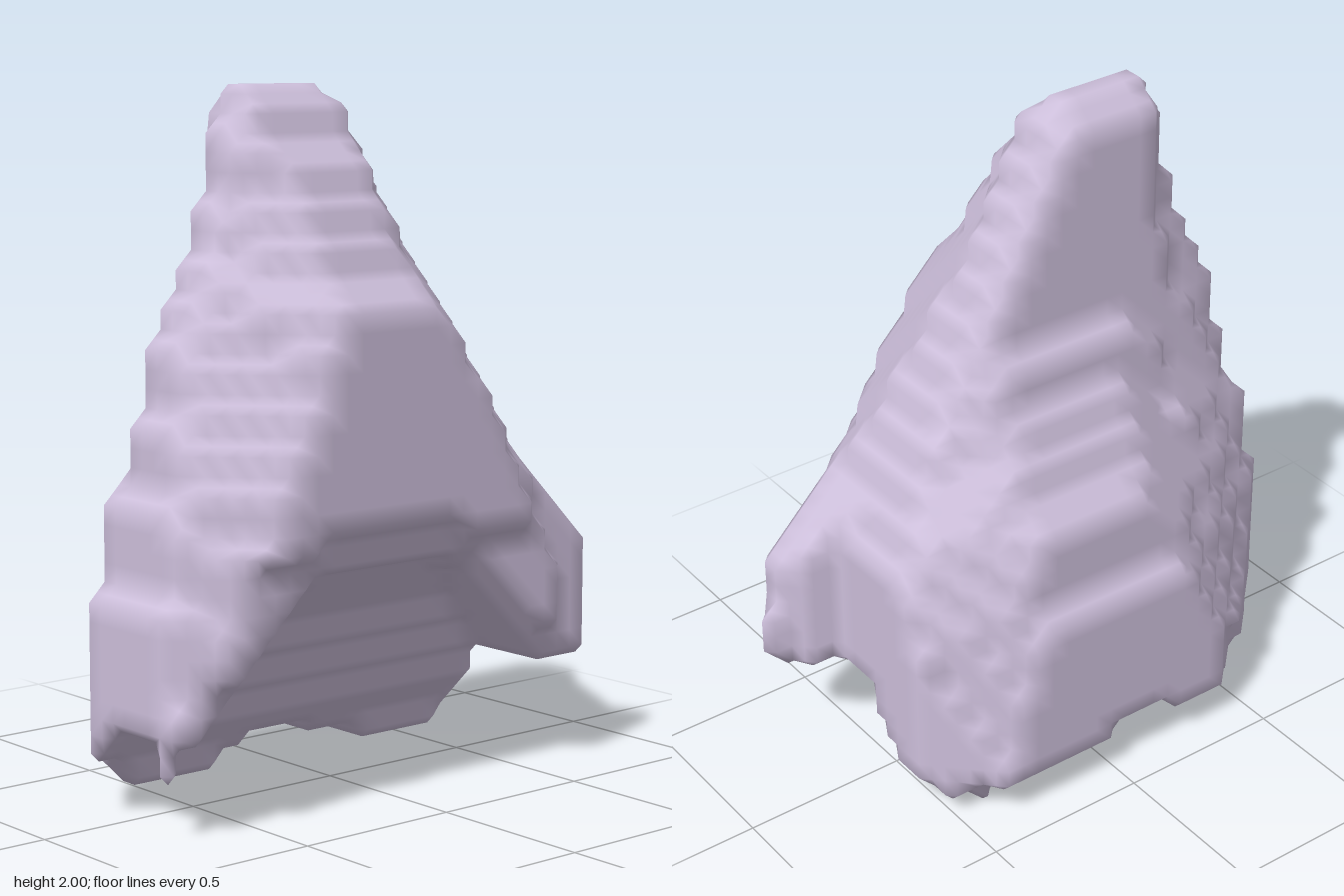
import * as THREE from 'three';

const S = 2 / 38;                 // step of the sampling grid
const N = [30, 38, 16];           // cells along x, y, z

// Horizontal sections, top to bottom:
// y, xMin, xMax, zBack, zFront, front flat x0 x1, back flat x0 x1, -x side z0 z1, +x side z0 z1
const SECTIONS = [
  [2.00, -0.32, -0.10, -0.05, 0.05, -0.30, -0.11, -0.28, -0.12, -0.05, 0.05, -0.04, 0.05],
  [1.80, -0.41, 0.04, -0.10, 0.16, -0.30, -0.04, -0.27, -0.03, -0.06, 0.06, -0.03, 0.06],
  [1.60, -0.45, 0.13, -0.10, 0.26, -0.30, 0.00, -0.27, 0.06, -0.05, 0.08, -0.03, 0.09],
  [1.38, -0.57, 0.26, -0.10, 0.41, -0.30, 0.06, -0.27, 0.18, -0.04, 0.10, -0.03, 0.13],
  [1.10, -0.65, 0.38, -0.21, 0.42, -0.38, 0.25, -0.14, 0.20, -0.05, 0.16, -0.07, 0.20],
  [0.85, -0.71, 0.54, -0.35, 0.42, -0.50, 0.36, -0.17, 0.24, -0.08, 0.22, -0.15, 0.26],
  [0.60, -0.76, 0.57, -0.395, 0.37, -0.60, 0.50, -0.28, 0.28, -0.10, 0.25, -0.22, 0.31],
  [0.30, -0.79, 0.57, -0.42, 0.32, -0.70, 0.55, -0.40, 0.34, -0.10, 0.26, -0.24, 0.31],
  [0.15, -0.79, 0.57, -0.42, 0.30, -0.72, 0.55, -0.39, 0.36, -0.10, 0.25, -0.24, 0.30],
  [0.00, -0.70, 0.48, -0.40, 0.30, -0.68, 0.46, -0.36, 0.42, -0.12, 0.22, -0.30, 0.28],
];

// Piecewise linear curve through [x, value] pairs
function curve(points, x) {
  if (x <= points[0][0]) return points[0][1];
  for (let i = 1; i < points.length; i++) {
    const [x0, v0] = points[i - 1], [x1, v1] = points[i];
    if (x <= x1) return v0 + (v1 - v0) * (x - x0) / (x1 - x0);
  }
  return points[points.length - 1][1];
}

// Hollow underside: rises to the front, arches from side to side
const RISE = [[-0.42, 0.11], [-0.32, 0.11], [-0.3, 0], [-0.28, 0], [-0.24, 0.06], [-0.13, 0.07], [-0.05, 0.19],
  [0, 0.27], [0.05, 0.31], [0.08, 0.4], [0.12, 0.5], [0.27, 0.69], [0.36, 0.7], [0.42, 0.83]];
const ARCH = [[-0.76, 0.25], [-0.7, 0.29], [-0.5, 0.5], [-0.3, 0.69], [0.1, 0.69], [0.25, 0.6], [0.4, 0.46], [0.55, 0.33]];
const RIM = [[-0.76, 0.17], [-0.65, 0.1], [-0.6, 0.06], [-0.35, 0.06], [-0.28, 0.11], [-0.14, 0.16], [-0.05, 0.16],
  [0, 0.11], [0.2, 0.11], [0.25, 0.06], [0.35, 0.06], [0.37, 0], [0.43, 0], [0.45, 0.06], [0.5, 0.06], [0.57, 0.13]];

function underside(x, z) {
  const arch = curve(ARCH, x) + Math.max(0, z - 0.3) * 1.2;
  return Math.max(curve(RIM, x), Math.min(curve(RISE, z), arch));
}

function sectionAt(y) {
  let i = 1;
  while (i < SECTIONS.length - 1 && SECTIONS[i][0] > y) i++;
  const a = SECTIONS[i - 1], b = SECTIONS[i];
  const t = (a[0] - y) / (a[0] - b[0]);
  return a.map((v, k) => v + (b[k] - v) * t);
}

function inBody(x, y, z) {
  if (y < underside(x, z)) return false;
  const [, xl, xr, zb, zf, f0, f1, b0, b1, l0, l1, r0, r1] = sectionAt(y);
  const ring = [[f0, zf], [f1, zf], [xr, r1], [xr, r0], [b1, zb], [b0, zb], [xl, l0], [xl, l1]];
  return ring.every(([px, pz], i) => {
    const [qx, qz] = ring[(i + 1) % 8];
    return (qx - px) * (z - pz) - (qz - pz) * (x - px) <= 2e-3;
  });
}

// Pointed flange at the lower +x front corner
function inFlange(x, y, z) {
  if (x < 0.52 || z > 0.315 || y < 0.32) return false;
  if (x > 0.735) return y > 0.37 && y < 0.53 && z > 0.21 && z < 0.265;
  return z > 0.1 + (x - 0.52) * 0.5 && y < curve([[0.5, 0.9], [0.6, 0.79], [0.68, 0.74], [0.735, 0.64]], x);
}

// Small hanging tip at the lower -x front corner
const inTip = (x, y, z) => x < -0.737 && y > 0.16 && y < 0.4 && z > 0.21 && z < 0.265;

// Six faces of a cell, corners counter-clockwise seen from outside
const FACES = [];
for (let a = 0; a < 3; a++) {
  const b = 1 << (a + 1) % 3, c = 1 << (a + 2) % 3, far = 1 << a;
  FACES.push([far, far | b, far | b | c, far | c], [0, c, b | c, b]);
}

// Surface of the sampled solid, cut halfway between solid and empty samples
function steppedSurface(inside) {
  const dims = N.map((n) => n + 2);
  const id = (p) => (p[0] * dims[1] + p[1]) * dims[2] + p[2];
  const place = (i, a) => (i - 0.5) * S - (a === 1 ? 0 : N[a] * S / 2);
  const solid = new Uint8Array(dims[0] * dims[1] * dims[2]);
  const each = (margin, fn) => {
    for (let i = 0; i < dims[0] - margin; i++)
      for (let j = 0; j < dims[1] - margin; j++)
        for (let k = 0; k < dims[2] - margin; k++) fn([i, j, k]);
  };
  each(0, (p) => {
    const border = p.some((v, a) => v === 0 || v === dims[a] - 1);
    solid[id(p)] = !border && inside(...p.map(place)) ? 1 : 0;
  });

  const positions = [], index = [], shared = new Map();
  // Shared vertex at the middle of a grid edge
  const midpoint = (p, q) => {
    const key = p.map((v, a) => v + q[a]).join();
    if (!shared.has(key)) {
      shared.set(key, positions.length / 3);
      positions.push(...p.map((v, a) => place((v + q[a]) / 2, a)));
    }
    return shared.get(key);
  };

  each(1, (cell) => {
    const corners = Array.from({ length: 8 }, (_, c) => cell.map((v, a) => v + (c >> a & 1)));
    const full = corners.map((p) => solid[id(p)]);
    // Each run of solid corners on a face gives one directed cut
    const next = new Map();
    for (const face of FACES) {
      for (let i = 0; i < 4; i++) {
        const before = face[(i + 3) % 4], start = face[i];
        if (full[before] || !full[start]) continue;
        let j = i;
        while (full[face[(j + 1) % 4]]) j++;
        next.set(midpoint(corners[before], corners[start]),
          midpoint(corners[face[j % 4]], corners[face[(j + 1) % 4]]));
      }
    }
    // Follow the cuts around closed loops and fill them
    while (next.size) {
      const loop = [];
      let v = next.keys().next().value;
      while (next.has(v)) {
        loop.push(v);
        const following = next.get(v);
        next.delete(v);
        v = following;
      }
      for (let i = 2; i < loop.length; i++) index.push(loop[0], loop[i - 1], loop[i]);
    }
  });

  const geometry = new THREE.BufferGeometry();
  geometry.setAttribute('position', new THREE.Float32BufferAttribute(positions, 3));
  geometry.setIndex(index);
  geometry.computeVertexNormals();
  return geometry;
}

export function createModel() {
  const group = new THREE.Group();
  group.name = 'steppedLobe';
  const material = new THREE.MeshStandardMaterial({ color: 0xcdbfdb });
  const parts = [inBody, inFlange, inTip];
  const lobe = new THREE.Mesh(steppedSurface((x, y, z) => parts.some((part) => part(x, y, z))), material);
  lobe.name = 'lobe';
  group.add(lobe);
  return group;
}
